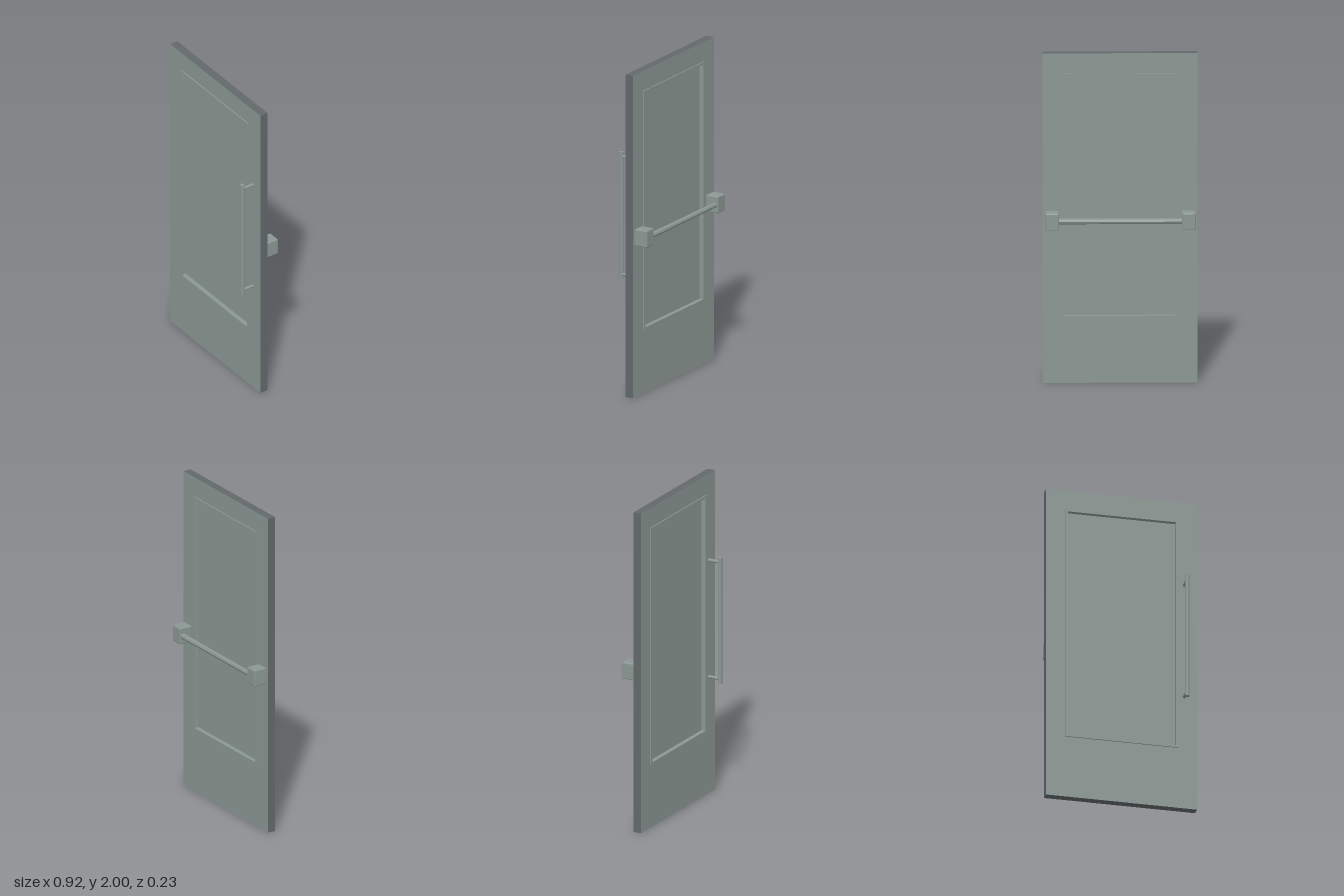
import * as THREE from 'three';
import { RoundedBoxGeometry } from 'three/addons/geometries/RoundedBoxGeometry.js';

const mat = (name, color) => {
  const m = new THREE.MeshStandardMaterial({ color });
  m.name = name;
  return m;
};

// Rectangular outline, usable as a shape or a hole
function rect(Type, x, y0, y1) {
  const p = new Type();
  p.moveTo(-x, y0);
  p.lineTo(x, y0);
  p.lineTo(x, y1);
  p.lineTo(-x, y1);
  p.closePath();
  return p;
}

// Upright slab with a rectangular opening, between two depths
function openSlab(outer, inner, z0, z1) {
  const shape = rect(THREE.Shape, ...outer);
  shape.holes.push(rect(THREE.Path, ...inner));
  const g = new THREE.ExtrudeGeometry(shape, { depth: z1 - z0, bevelEnabled: false });
  return g.translate(0, 0, z0);
}

export function createModel() {
  const group = new THREE.Group();
  const grey = mat('greenGrey', 0x8b9793);
  const edge = mat('darkEdge', 0x62686a);

  const add = (name, geometry, material, x = 0, y = 0, z = 0) => {
    const m = new THREE.Mesh(geometry, material);
    m.name = name;
    m.position.set(x, y, z);
    group.add(m);
    return m;
  };

  // Door leaf with darker rim, raised moulding and recessed pane
  add('doorLeaf', openSlab([0.46, 0, 2], [0.338, 0.4, 1.87], -0.028, 0.023), [grey, edge]);
  add('paneFrame', openSlab([0.345, 0.392, 1.878], [0.33, 0.407, 1.863], -0.035, 0.03), grey);
  add('pane', new THREE.BoxGeometry(0.67, 1.466, 0.01), grey, 0, 1.135, -0.0025);

  // Front pull handle on two posts
  add('pullHandle', new THREE.CylinderGeometry(0.0135, 0.0135, 0.79, 20), grey, 0.382, 1.095, 0.1);
  for (const y of [0.73, 1.46]) {
    const post = add('handlePost', new THREE.CylinderGeometry(0.01, 0.01, 0.08, 16), grey, 0.382, y, 0.06);
    post.rotation.x = Math.PI / 2;
  }

  // Back push bar: chamfered end housings, rod and short sleeve
  for (const x of [-0.407, 0.405]) {
    const g = new RoundedBoxGeometry(0.082, 0.104, 0.086, 1, 0.006);
    g.computeVertexNormals();
    add('barHousing', g, grey, x, 0.994, -0.073);
    add('housingBase', new THREE.BoxGeometry(0.074, 0.096, 0.008), grey, x, 0.994, -0.031);
  }
  const rod = (name, r, x0, x1) => {
    const g = new THREE.CylinderGeometry(r, r, x1 - x0, 8).rotateZ(Math.PI / 2).toNonIndexed();
    g.computeVertexNormals();
    add(name, g, grey, (x0 + x1) / 2, 0.994, -0.0945);
  };
  rod('pushBar', 0.0165, -0.37, 0.37);
  rod('barSleeve', 0.018, 0.2, 0.368);

  return group;
}
